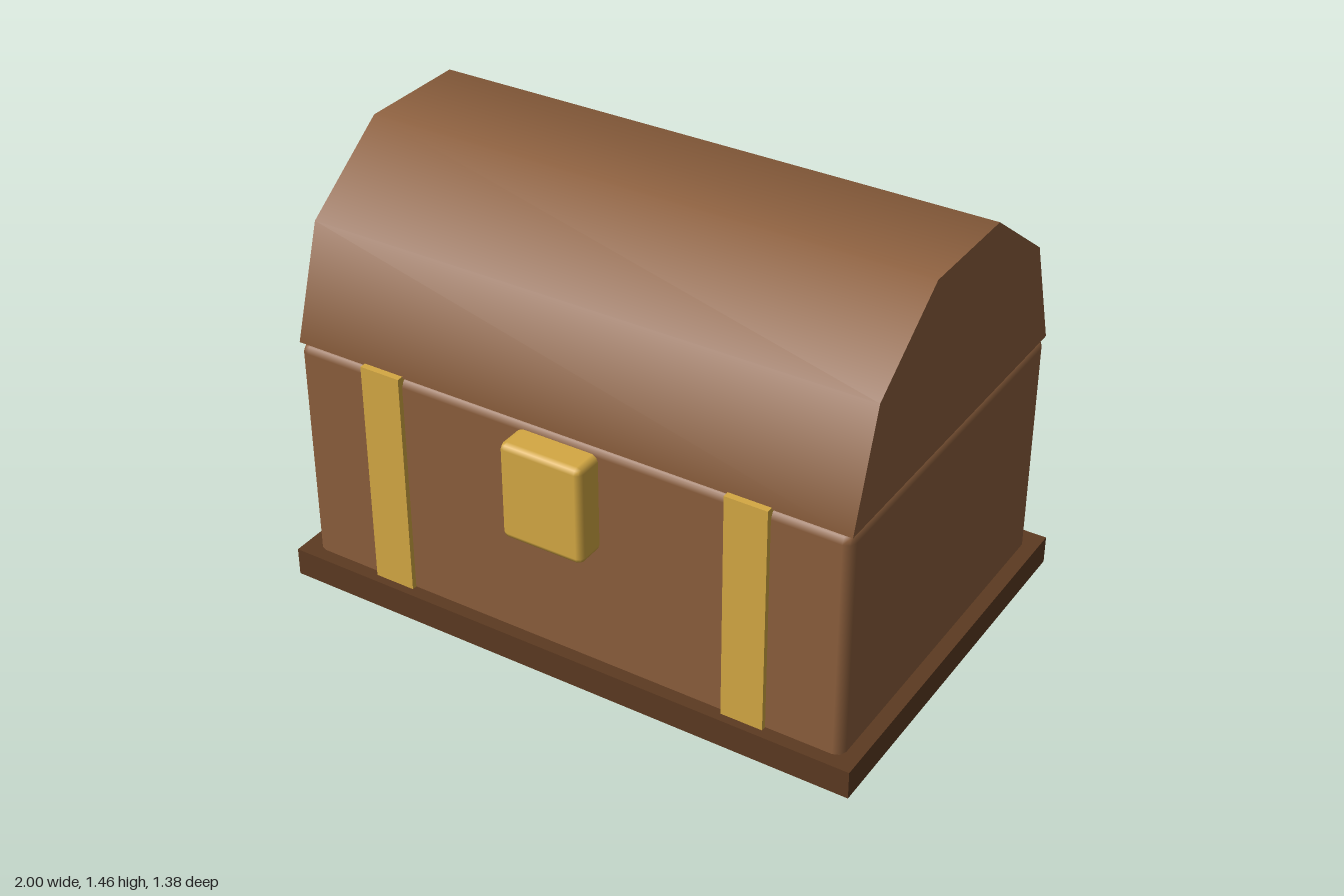
import * as THREE from 'three';
import { RoundedBoxGeometry } from 'three/addons/geometries/RoundedBoxGeometry.js';

export function createModel() {
  const chest = new THREE.Group();
  chest.name = 'chest';

  const material = (name, color) => {
    const m = new THREE.MeshStandardMaterial({ color });
    m.name = name;
    return m;
  };
  const wood = material('wood', 0x8b5e3c);
  const darkWood = material('darkWood', 0x5c3a21);
  const brass = material('brass', 0xd4a843);

  const add = (name, geometry, mat, x, y, z) => {
    const mesh = new THREE.Mesh(geometry, mat);
    mesh.name = name;
    mesh.position.set(x, y, z);
    chest.add(mesh);
  };

  const midZ = -0.025; // the latch sticks out in front, so the box sits slightly back

  // Plinth and chamfered box
  add('base', new THREE.BoxGeometry(2, 0.095, 1.33), darkWood, 0, 0.0585, midZ);
  add('body', new RoundedBoxGeometry(1.9, 0.853, 1.24, 1, 0.03), wood, 0, 0.4435, midZ);

  // Five-sided half barrel lid, closed underneath
  const lid = new THREE.CylinderGeometry(0.617, 0.617, 1.9, 5, 1, false, 0, Math.PI);
  lid.rotateZ(Math.PI / 2);
  add('lid', lid, wood, 0, 0.872, midZ);
  const underside = new THREE.PlaneGeometry(1.9, 1.234);
  underside.rotateX(Math.PI / 2);
  add('lidUnderside', underside, wood, 0, 0.872, midZ);

  // Straps wrap the body front, back and below
  for (const side of [-1, 1]) {
    add(side < 0 ? 'rightStrap' : 'leftStrap',
      new THREE.BoxGeometry(0.14, 0.877, 1.275), brass, side * 0.63, 0.4385, midZ);
  }

  // Chamfered latch
  add('latch', new RoundedBoxGeometry(0.28, 0.33, 0.14, 1, 0.02), brass, -0.005, 0.68, 0.62);

  return chest;
}
